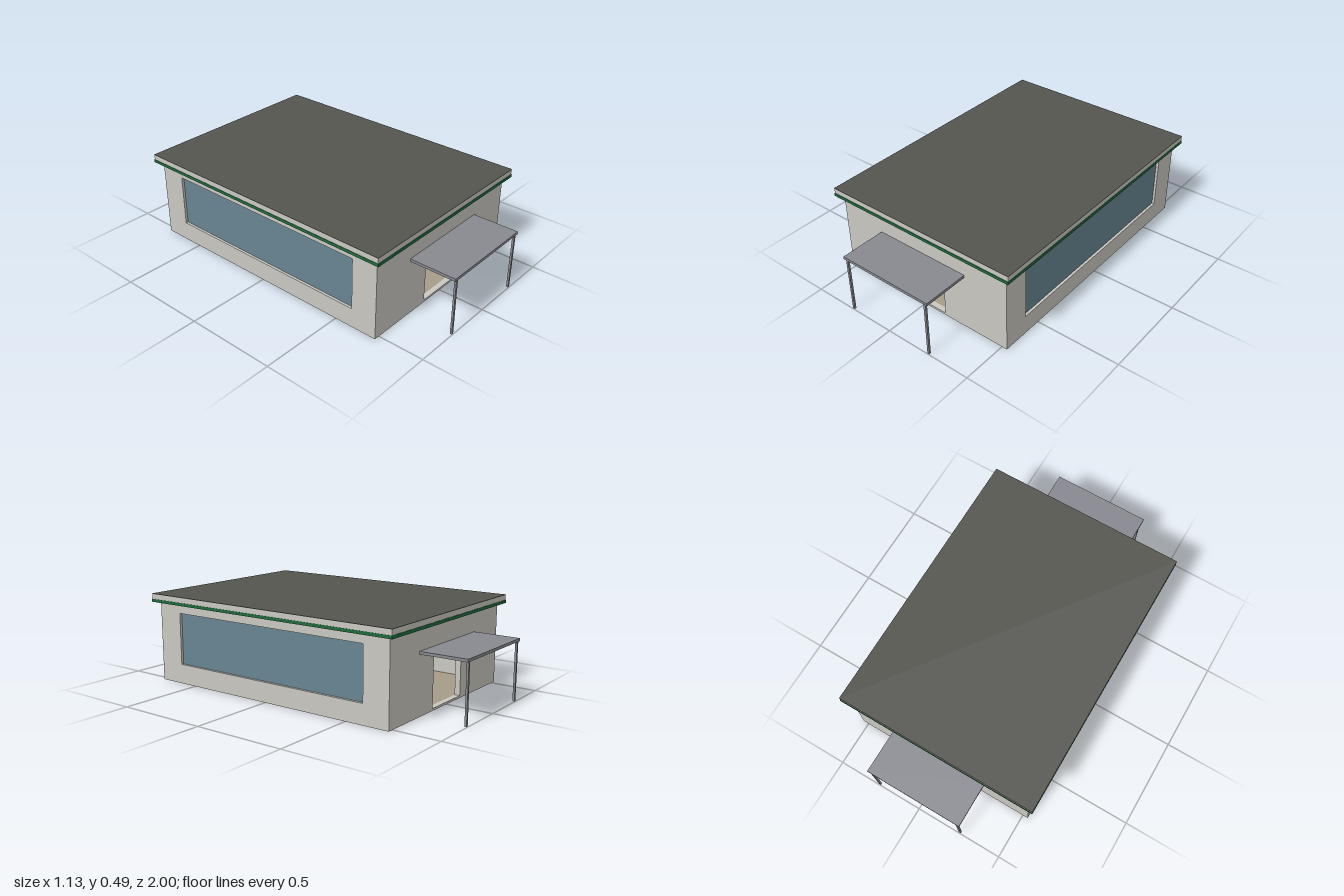
import * as THREE from 'three';

const mat = (name, color) => {
  const m = new THREE.MeshStandardMaterial({ color });
  m.name = name;
  return m;
};

export function createModel() {
  const group = new THREE.Group();
  const wallPaint = mat('wall beige', 0xc9c7c0);
  const green = mat('trim green', 0x1f6b3d);
  const roofing = mat('roofing grey', 0x555550);
  const metal = mat('canopy grey', 0x888990);
  const glass = mat('window blue', 0x688592);
  const wood = mat('counter brown', 0x7a5a38);
  const flooring = mat('floor tan', 0xa69c88);

  const W = 0.53, D = 0.745, H = 0.44, T = 0.03; // half width, half depth, height, wall thickness

  // Box given by its extents on each axis
  const box = (name, material, [x0, x1], [y0, y1], [z0, z1], parent = group) => {
    const mesh = new THREE.Mesh(new THREE.BoxGeometry(x1 - x0, y1 - y0, z1 - z0), material);
    mesh.position.set((x0 + x1) / 2, (y0 + y1) / 2, (z0 + z1) / 2);
    mesh.name = name;
    parent.add(mesh);
    return mesh;
  };

  // Wall panel with one rectangular opening, outer face towards +z
  const wall = (name, half, openHalf, y0, y1) => {
    const shape = new THREE.Shape();
    shape.moveTo(-half, 0).lineTo(half, 0).lineTo(half, H).lineTo(-half, H).closePath();
    const hole = new THREE.Path();
    hole.moveTo(-openHalf, y0).lineTo(-openHalf, y1).lineTo(openHalf, y1).lineTo(openHalf, y0).closePath();
    shape.holes.push(hole);
    const geo = new THREE.ExtrudeGeometry(shape, { depth: T, bevelEnabled: false });
    const mesh = new THREE.Mesh(geo, wallPaint);
    mesh.name = name;
    group.add(mesh);
    return mesh;
  };

  // Front and back: door wall plus canopy on two posts
  for (const s of [1, -1]) {
    const end = s > 0 ? 'front' : 'back';
    const doorWall = wall(end + 'Wall', W, 0.138, 0.012, 0.28);
    doorWall.rotation.y = s > 0 ? 0 : Math.PI;
    doorWall.position.z = s * (D - T);

    const canopy = new THREE.Group();
    canopy.name = end + 'Canopy';
    canopy.rotation.y = s > 0 ? 0 : Math.PI;
    group.add(canopy);
    box('canopyRoof', metal, [-0.275, 0.275], [0.311, 0.326], [D, 1], canopy);
    for (const x of [-0.256, 0.256])
      box('canopyPost', metal, [x - 0.006, x + 0.006], [0, 0.311], [0.986, 0.997], canopy);
  }

  // Sides: window wall with recessed glass
  for (const s of [1, -1]) {
    const side = s > 0 ? 'left' : 'right';
    const windowWall = wall(side + 'Wall', D - T, 0.6, 0.107, 0.39);
    windowWall.rotation.y = s * Math.PI / 2;
    windowWall.position.x = s * (W - T);
    const x = s * 0.512;
    box(side + 'Window', glass, [x - 0.004, x + 0.004], [0.107, 0.39], [-0.6, 0.6]);
  }

  // Floor, raised slightly above the bottom of the walls
  box('floor', flooring, [-W + T, W - T], [0.006, 0.011], [-D + T, D - T]);

  // Roof: green soffit and trim, fascia, roofing
  box('roofTrim', green, [-0.566, 0.566], [H, 0.456], [-0.778, 0.778]);
  box('roofFascia', wallPaint, [-0.564, 0.564], [0.456, 0.484], [-0.775, 0.775]);
  box('roofing', roofing, [-0.565, 0.565], [0.484, 0.486], [-0.776, 0.776]);

  // Counters with green tops
  const counter = (name, xs, zs) => {
    box(name, wood, xs, [0.011, 0.13], zs);
    box(name + 'Top', green, xs, [0.13, 0.14], zs);
  };
  counter('frontCounter', [-0.31, -0.098], [0.48, 0.54]);
  for (const x of [-0.38, 0.38])
    for (const z of [-0.24, 0.24])
      counter('sideCounter', [x - 0.033, x + 0.033], [z - 0.18, z + 0.18]);

  return group;
}
